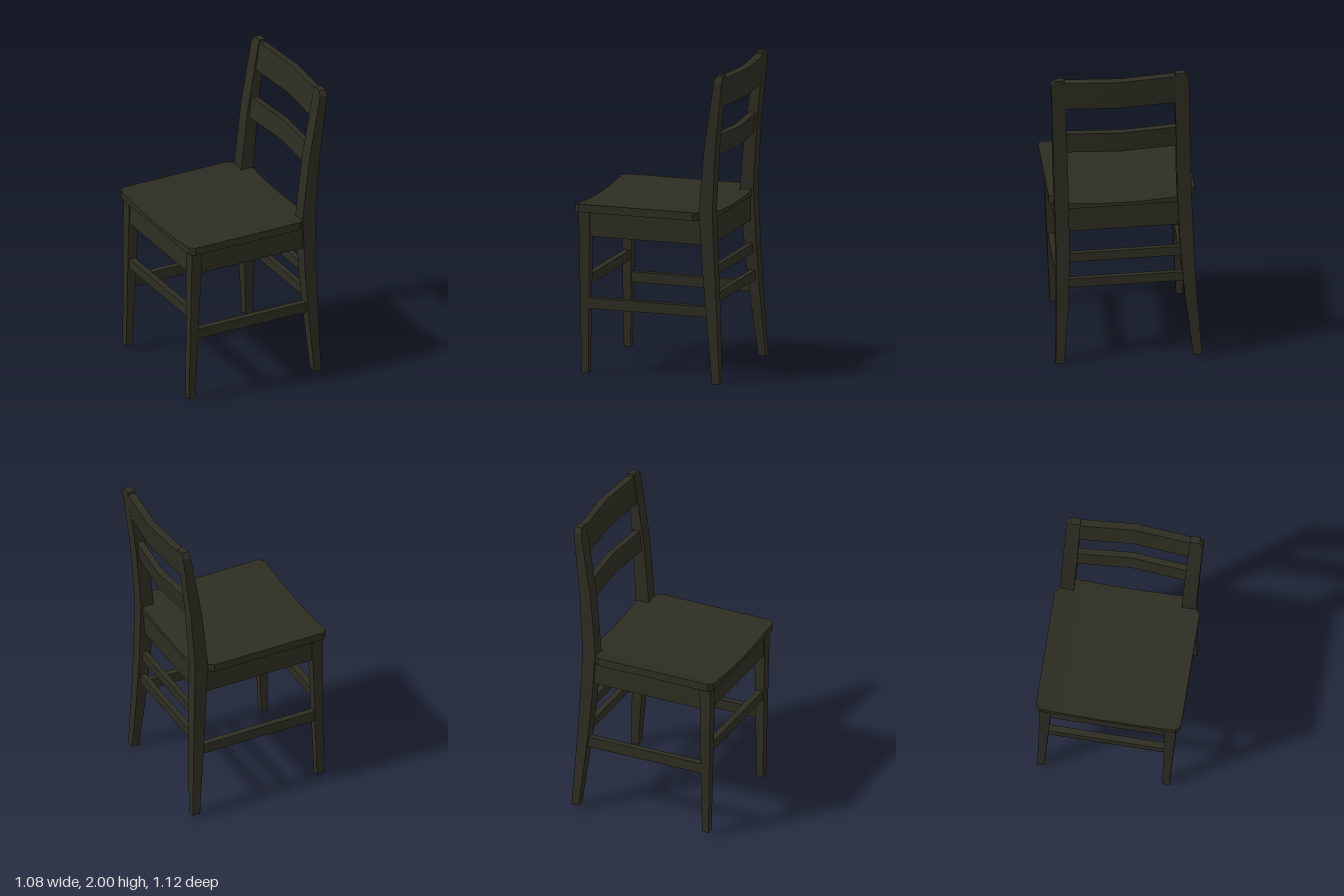
import * as THREE from 'three';
import { toCreasedNormals } from 'three/addons/utils/BufferGeometryUtils.js';

export function createModel() {
  const darkWood = new THREE.MeshStandardMaterial({ color: 0x2e2d22 });
  darkWood.name = 'darkWood';

  const model = new THREE.Group();
  model.name = 'woodenChair';
  const chair = new THREE.Group();
  chair.name = 'chair';
  model.add(chair);

  // Moves every vertex of a unit box by a rule, then keeps its edges sharp.
  function warpedBox(name, [nx, ny, nz], rule) {
    const geometry = new THREE.BoxGeometry(1, 1, 1, nx, ny, nz);
    const p = geometry.attributes.position;
    for (let i = 0; i < p.count; i++) {
      p.setXYZ(i, ...rule(p.getX(i), p.getY(i), p.getZ(i)));
    }
    geometry.computeVertexNormals();
    const mesh = new THREE.Mesh(toCreasedNormals(geometry, 0.5), darkWood);
    mesh.name = name;
    chair.add(mesh);
    return mesh;
  }

  function bar(name, size, position) {
    const mesh = new THREE.Mesh(new THREE.BoxGeometry(...size), darkWood);
    mesh.name = name;
    mesh.position.set(...position);
    chair.add(mesh);
  }

  // Seat: outline stations [z, half width], notched round the posts, dished on top
  const outline = [[-0.4, 0.345], [-0.32, 0.345], [-0.321, 0.43], [-0.29, 0.46], [0.47, 0.46], [0.5, 0.43]];
  warpedBox('seat', [10, 1, outline.length - 1], (x, y, z) => {
    const [w, half] = outline[Math.round((z + 0.5) * (outline.length - 1))];
    const u = 2 * x * half;
    const top = 1.092 - 0.03 * (1 - (u / 0.46) ** 2);
    return [u, y > 0 ? top : 1.04, w];
  });

  // Back posts: sections [height, side offset, z, width, depth], with a chamfered top
  const sections = [
    [0, 0.434, -0.443, 0.055, 0.05],
    [0.4, 0.405, -0.411, 0.076, 0.068],
    [0.7, 0.392, -0.388, 0.085, 0.08],
    [1.1, 0.387, -0.366, 0.09, 0.09],
    [1.5, 0.388, -0.394, 0.09, 0.075],
    [1.935, 0.39, -0.448, 0.088, 0.052],
    [1.97, 0.38, -0.452, 0.06, 0.044],
  ];

  for (const s of [-1, 1]) {
    const side = s > 0 ? 'left' : 'right';
    warpedBox(side + 'BackPost', [1, sections.length - 1, 1], (x, y, z) => {
      const [h, cx, cz, w, d] = sections[Math.round((y + 0.5) * (sections.length - 1))];
      return [s * cx + x * w, h, cz + z * d];
    });

    // Front legs taper to the floor
    warpedBox(side + 'FrontLeg', [1, 1, 1], (x, y, z) => {
      const w = y > 0 ? 0.074 : 0.045;
      return [s * 0.397 + x * w, y > 0 ? 1.045 : 0, 0.442 + z * w];
    });

    // Side apron and stretcher
    bar(side + 'Apron', [0.04, 0.165, 0.79], [s * 0.4, 0.963, 0.04]);
    bar(side + 'Stretcher', [0.042, 0.068, 0.83], [s * 0.398, 0.45, 0.02]);
  }

  // Front and back aprons and stretchers
  bar('frontApron', [0.77, 0.165, 0.04], [0, 0.963, 0.45]);
  bar('backApron', [0.74, 0.165, 0.04], [0, 0.963, -0.37]);
  bar('frontStretcher', [0.78, 0.063, 0.042], [0, 0.592, 0.442]);
  bar('upperBackStretcher', [0.76, 0.06, 0.036], [0, 0.702, -0.388]);
  bar('lowerBackStretcher', [0.78, 0.06, 0.036], [0, 0.53, -0.4]);

  // Back slats: bowed backwards at the middle and leaning with the posts
  const slats = [['topSlat', 1.86, 0.19, -0.44, 0.048], ['middleSlat', 1.51, 0.135, -0.394, 0.042]];
  for (const [name, h, height, z0, depth] of slats) {
    const slat = warpedBox(name, [2, 1, 1], (x, y, z) => [
      x * 0.75, y * height, z * depth - 0.032 * (1 - 2 * Math.abs(x)),
    ]);
    slat.position.set(0, h, z0);
    slat.rotation.x = -0.11;
  }

  // The chair stands turned and very slightly tilted
  chair.rotation.set(-0.01, -0.182, -0.03, 'YXZ');
  chair.position.set(-0.033, 0.02, -0.006);
  return model;
}
